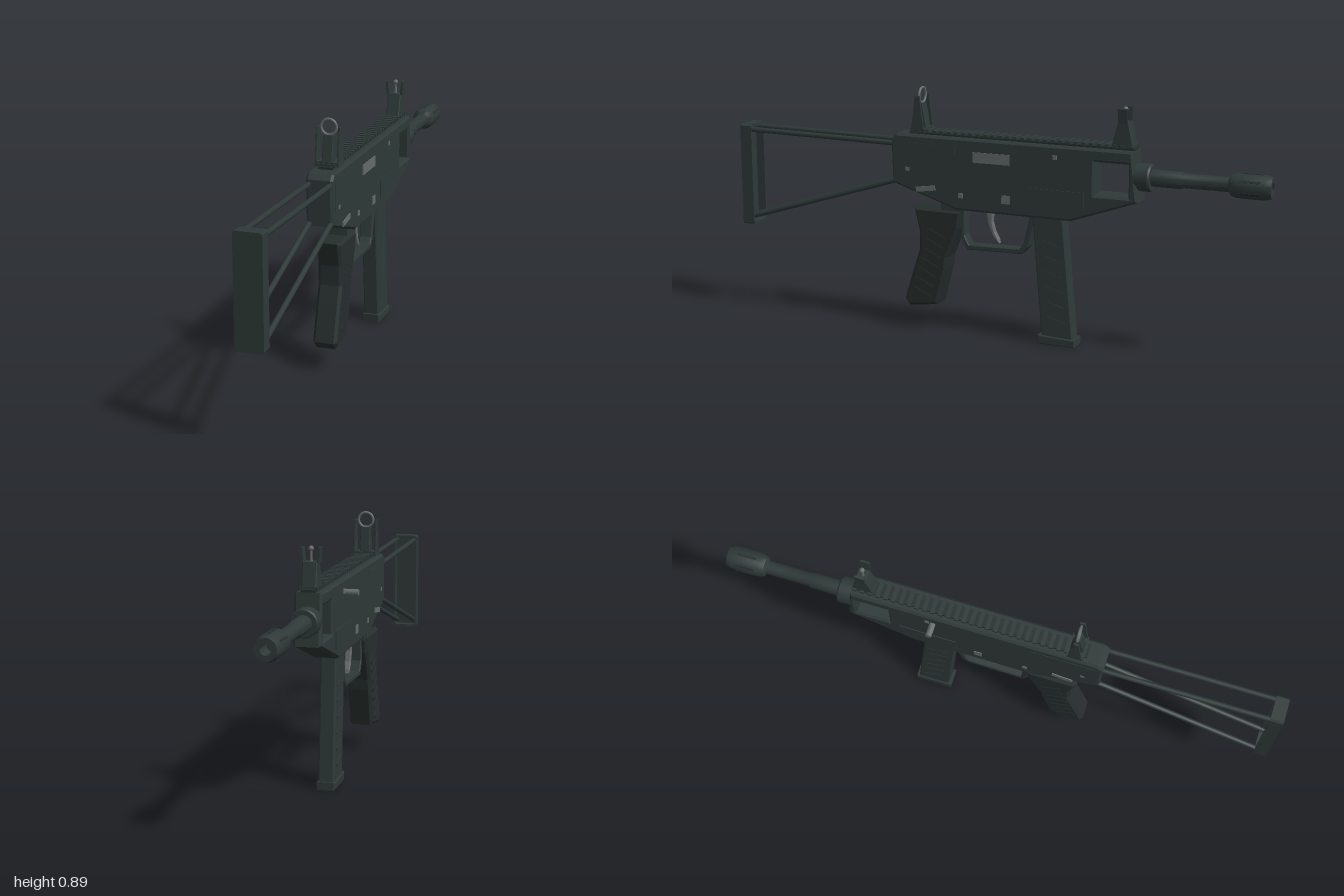
import * as THREE from 'three';
import { toCreasedNormals } from 'three/addons/utils/BufferGeometryUtils.js';

export function createModel() {
  const root = new THREE.Group();
  root.name = 'model';
  const body = new THREE.Group();
  body.name = 'prop';
  body.position.x = 0.018; // the side handle shifts the body off centre
  root.add(body);

  const mat = (name, color) => {
    const m = new THREE.MeshStandardMaterial({ color });
    m.name = name;
    return m;
  };
  const dark = mat('dark green grey', 0x2e3937);
  const black = mat('near black', 0x262e2d);
  const grey = mat('steel grey', 0x666a6b);

  const add = (name, geo, material, x = 0, y = 0, z = 0) => {
    const m = new THREE.Mesh(geo, material);
    m.name = name;
    m.position.set(x, y, z);
    body.add(m);
    return m;
  };
  const box = (name, w, h, d, material, x, y, z) =>
    add(name, new THREE.BoxGeometry(w, h, d), material, x, y, z);

  // Side profile given as [z, y], extruded across x with a small bevel
  const path = (pts, C = THREE.Shape) => new C(pts.map(([z, y]) => new THREE.Vector2(-z, y)));
  const slab = (name, pts, width, bevel, material, holes = [], x = 0) => {
    const shape = path(pts);
    holes.forEach((h) => shape.holes.push(path(h, THREE.Path)));
    const geo = new THREE.ExtrudeGeometry(shape, {
      depth: width - 2 * bevel, bevelEnabled: bevel > 0, bevelSize: bevel,
      bevelThickness: bevel, bevelOffset: -bevel, bevelSegments: 1,
    });
    geo.translate(0, 0, -(width - 2 * bevel) / 2);
    geo.rotateY(Math.PI / 2);
    return add(name, geo, material, x);
  };

  // Receiver with the open window near the front
  slab('receiver', [[0.37, 0.54], [0.12, 0.46], [-0.31, 0.46], [-0.55, 0.545],
    [-0.53, 0.72], [0.355, 0.72], [0.375, 0.7]], 0.094, 0.008, dark,
  [[[-0.395, 0.56], [-0.395, 0.675], [-0.517, 0.675], [-0.517, 0.56]]]);

  // Top rail with teeth
  box('railBase', 0.05, 0.012, 0.84, black, 0, 0.722, -0.11);
  for (let i = 0; i < 30; i++) box('railTooth', 0.064, 0.01, 0.015, dark, 0, 0.732, 0.295 - i * 0.028);

  // Side panels, pins and the port
  for (const s of [-1, 1]) {
    const plate = (name, z0, z1, y0, y1, material, out = 0.002) =>
      box(name, 0.006, y1 - y0, z0 - z1, material, s * (0.047 + out - 0.003), (y0 + y1) / 2, (z0 + z1) / 2);
    plate('frontPanel', -0.15, -0.36, 0.495, 0.565, dark, 0.003);
    slab('rearPanel', [[0.345, 0.55], [0.125, 0.483], [0.125, 0.69], [0.345, 0.69]],
      0.006, 0, dark, [], s * 0.0455);
    plate('rearPin', 0.315, 0.3, 0.588, 0.602, grey, 0.003);
    plate('lowerPin', 0.11, 0.093, 0.506, 0.524, grey, 0.003);
    plate('frontPin', -0.245, -0.26, 0.672, 0.688, grey, 0.003);
    if (s > 0) plate('ejectionPort', 0.055, -0.085, 0.638, 0.675, grey, 0.003);
    plate('triggerPin', -0.055, -0.085, 0.5, 0.53, grey, 0.003);
    const lever = plate('selector', 0.275, 0.2, 0.52, 0.538, grey, 0.005);
    lever.rotation.x = 0.14;
  }

  // Charging handle on the model's right side
  const handle = new THREE.CylinderGeometry(0.011, 0.011, 0.055, 12);
  handle.rotateZ(Math.PI / 2);
  add('chargingHandle', handle, grey, -0.067, 0.674, -0.232);

  // Barrel, collar and muzzle: lathe profile as [radius, distance forward]
  const lathe = (name, pts, material) => {
    const g = new THREE.LatheGeometry(pts.map(([r, d]) => new THREE.Vector2(r, d)), 24);
    g.rotateX(-Math.PI / 2);
    return add(name, toCreasedNormals(g, 0.5), material, 0, 0.628, 0);
  };
  lathe('barrelCollar', [[0, 0.53], [0.048, 0.53], [0.048, 0.582], [0.044, 0.588], [0, 0.588]], dark);
  lathe('barrel', [[0.029, 0.58], [0.029, 0.69], [0.025, 0.70], [0.025, 0.87]], dark);
  lathe('muzzle', [[0.025, 0.855], [0.036, 0.862], [0.042, 0.88], [0.042, 0.98],
    [0.036, 1.0], [0.018, 1.0], [0.018, 0.93], [0, 0.93]], dark);
  for (let i = 0; i < 6; i++) {
    const a = (i / 6) * Math.PI * 2;
    const slot = box('muzzleSlot', 0.008, 0.003, 0.07, black, Math.sin(a) * 0.0415, 0.628 + Math.cos(a) * 0.0415, -0.93);
    slot.rotation.z = -a;
  }

  // Folding stock: hollow butt frame and four rods
  box('buttPlate', 0.094, 0.37, 0.014, dark, 0, 0.518, 0.993);
  const rim = new THREE.Shape();
  const rect = (p, w, h, c) => {
    p.moveTo(-w + c, -h);
    p.lineTo(w - c, -h); p.lineTo(w, -h + c); p.lineTo(w, h - c); p.lineTo(w - c, h);
    p.lineTo(-w + c, h); p.lineTo(-w, h - c); p.lineTo(-w, -h + c); p.closePath();
    return p;
  };
  rect(rim, 0.048, 0.19, 0.006);
  rim.holes.push(rect(new THREE.Path(), 0.039, 0.18, 0.004));
  add('buttRim', new THREE.ExtrudeGeometry(rim, { depth: 0.046, bevelEnabled: false }), dark, 0, 0.518, 0.954);
  const rod = (name, x, y0, z0, y1, z1) => {
    const line = new THREE.LineCurve3(new THREE.Vector3(x, y0, z0), new THREE.Vector3(x, y1, z1));
    add(name, new THREE.TubeGeometry(line, 1, 0.0095, 10, false), dark);
  };
  for (const x of [-0.037, 0.037]) {
    rod('upperStockRod', x, 0.69, 0.99, 0.682, 0.34);
    rod('lowerStockRod', x, 0.35, 0.99, 0.555, 0.34);
  }

  // Pistol grip with slanted ribs
  slab('grip', [[0.29, 0.455], [0.27, 0.37], [0.27, 0.3], [0.29, 0.24], [0.33, 0.11], [0.312, 0.085],
    [0.2, 0.1], [0.165, 0.24], [0.16, 0.28], [0.115, 0.39], [0.105, 0.455]], 0.086, 0.01, black);
  box('gripMount', 0.07, 0.05, 0.09, dark, 0, 0.465, 0.14);
  for (const s of [-1, 1]) {
    for (let i = 0; i < 7; i++) {
      const y = 0.14 + i * 0.037;
      const rib = box('gripRib', 0.006, 0.014, 0.075, black, s * 0.0425, y, 0.26 - (y - 0.14) * 0.27);
      rib.rotation.x = -0.45;
    }
  }

  // Trigger guard and trigger
  slab('triggerGuard', [[0.12, 0.465], [0.115, 0.36], [0.09, 0.313], [-0.12, 0.318], [-0.145, 0.345], [-0.175, 0.465]],
    0.045, 0.003, dark,
    [[[0.1, 0.455], [0.1, 0.365], [0.082, 0.331], [-0.112, 0.336], [-0.127, 0.355], [-0.15, 0.455]]]);
  slab('trigger', [[0.022, 0.47], [0.012, 0.41], [-0.005, 0.37], [-0.03, 0.345], [-0.027, 0.358],
    [-0.012, 0.385], [-0.003, 0.42], [-0.005, 0.47]], 0.022, 0.003, grey);

  // Magazine with raised side ribs and a base
  slab('magazine', [[-0.16, 0.48], [-0.2, 0.02], [-0.318, 0.02], [-0.275, 0.48]], 0.056, 0.005, dark);
  slab('magazineBase', [[-0.188, 0.033], [-0.191, 0], [-0.326, 0], [-0.326, 0.028]], 0.067, 0.004, dark);
  for (const s of [-1, 1]) {
    for (let i = 0; i < 6; i++) {
      const y = 0.09 + i * 0.055;
      const rib = box('magazineRib', 0.005, 0.01, 0.07, dark, s * 0.0275, y, -0.26 + (y - 0.03) * 0.09);
      rib.rotation.x = -0.3;
    }
  }

  // Rear sight: tapered body, two wings and a ring
  slab('rearSightBody', [[0.298, 0.73], [0.245, 0.73], [0.262, 0.83], [0.28, 0.83]], 0.036, 0.002, dark);
  box('rearSightBase', 0.084, 0.016, 0.055, dark, 0, 0.735, 0.271);
  for (const s of [-1, 1]) {
    slab('rearSightWing', [[0.296, 0.735], [0.246, 0.735], [0.262, 0.858], [0.28, 0.858]], 0.007, 0.001, dark, [], s * 0.039);
  }
  add('rearSightRing', new THREE.TorusGeometry(0.027, 0.0045, 8, 28), grey, 0, 0.857, 0.27);

  // Front sight: tapered base, two flared ears and a post
  slab('frontSightBase', [[-0.448, 0.73], [-0.47, 0.815], [-0.508, 0.815], [-0.525, 0.73]], 0.05, 0.003, dark);
  for (const s of [-1, 1]) {
    const ear = box('frontSightEar', 0.008, 0.05, 0.034, dark, s * 0.028, 0.836, -0.488);
    ear.rotation.z = -s * 0.08;
  }
  add('frontSightPost', new THREE.CylinderGeometry(0.004, 0.005, 0.045, 10), grey, 0, 0.835, -0.488);
  add('frontSightBead', new THREE.SphereGeometry(0.009, 12, 8), grey, 0, 0.857, -0.488);

  return root;
}
